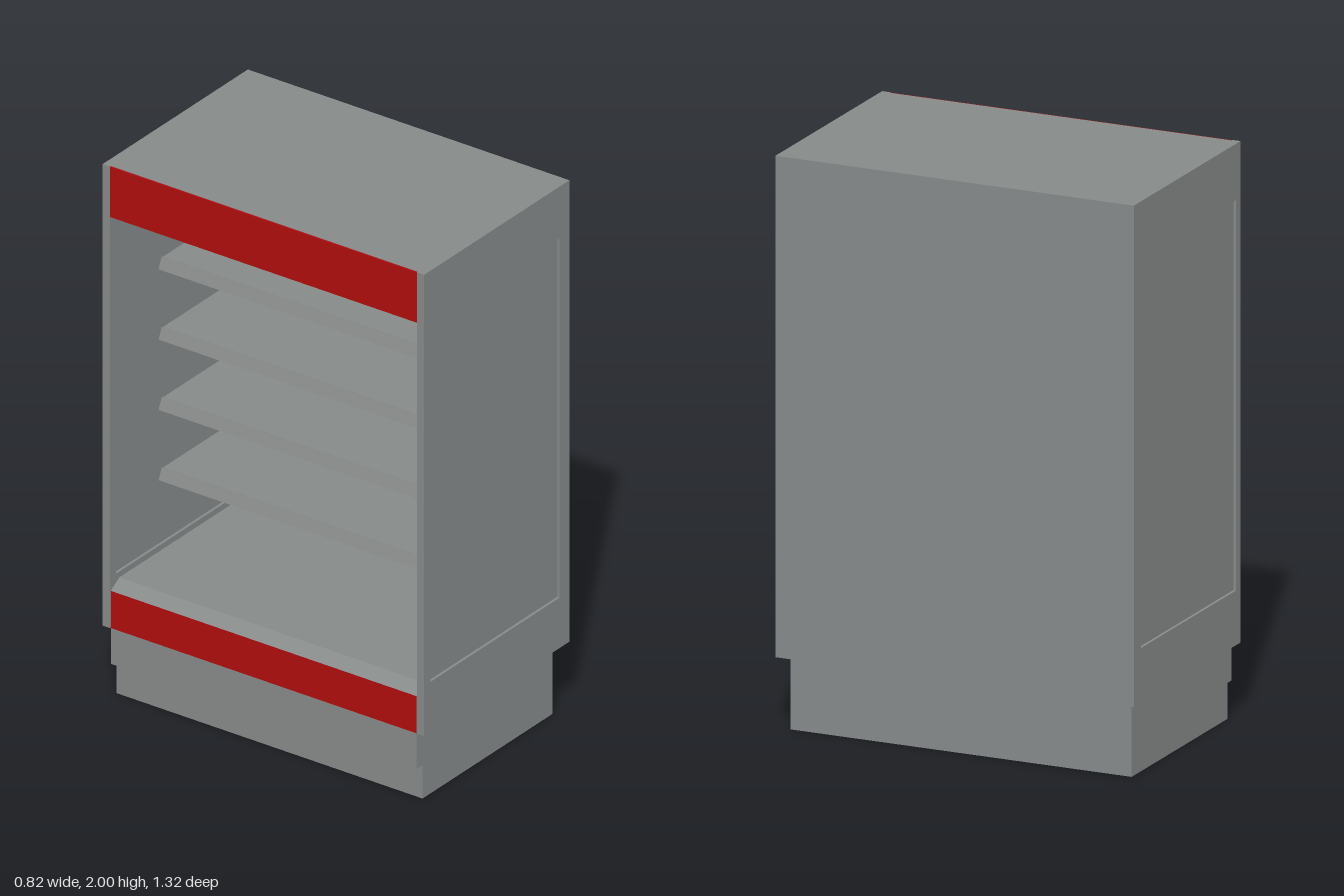
import * as THREE from 'three';

// Open-fronted refrigerated display cabinet; the open side faces -x
export function createModel() {
  const model = new THREE.Group();
  const grey = new THREE.MeshStandardMaterial({ color: 0x868a89, side: THREE.DoubleSide });
  grey.name = 'cabinetGrey';
  const red = new THREE.MeshStandardMaterial({ color: 0xb00d0d, side: THREE.DoubleSide });
  red.name = 'trimRed';
  const Z = 0.63; // inner half length, between the end panels

  function add(name, geometry, material = grey, parent = model) {
    const mesh = new THREE.Mesh(geometry, material);
    mesh.name = name;
    parent.add(mesh);
    return mesh;
  }
  // Box from its two extreme corners
  function box(name, x0, x1, y0, y1, z0, z1, material, parent) {
    const mesh = add(name, new THREE.BoxGeometry(x1 - x0, y1 - y0, z1 - z0), material, parent);
    mesh.position.set((x0 + x1) / 2, (y0 + y1) / 2, (z0 + z1) / 2);
    return mesh;
  }
  // Folded sheet: an x,y path swept along z
  function sheet(name, path, halfLength, material, parent) {
    const pos = [];
    for (let i = 0; i < path.length - 1; i++) {
      const [ax, ay] = path[i], [bx, by] = path[i + 1], h = halfLength;
      pos.push(ax, ay, -h, ax, ay, h, bx, by, h, ax, ay, -h, bx, by, h, bx, by, -h);
    }
    const g = new THREE.BufferGeometry();
    g.setAttribute('position', new THREE.Float32BufferAttribute(pos, 3));
    g.computeVertexNormals();
    return add(name, g, material, parent);
  }
  function outline(points) {
    return new THREE.Shape(points.map(([x, y]) => new THREE.Vector2(x, y)));
  }

  // End panels: frame with a thinner recessed pane
  for (const side of [1, -1]) {
    const panel = new THREE.Group();
    panel.name = side > 0 ? 'frontEndPanel' : 'backEndPanel';
    const frame = outline([[-0.41, 0.26], [0.41, 0.26], [0.41, 2], [-0.41, 2]]);
    frame.holes.push(outline([[-0.375, 0.45], [-0.375, 1.805], [0.355, 1.805], [0.355, 0.45]]));
    const geo = new THREE.ExtrudeGeometry(frame, { depth: 0.03, bevelEnabled: false });
    add('endFrame', geo, grey, panel).position.z = side > 0 ? Z : -Z - 0.03;
    const mid = side * (Z + 0.015);
    box('endPane', -0.375, 0.355, 0.45, 1.805, mid - 0.005, mid + 0.005, grey, panel);
    model.add(panel);
  }

  // Rear wall and canopy
  box('rearWall', 0.36, 0.41, 0.26, 2, -Z, Z);
  box('canopy', -0.404, 0.36, 1.81, 2, -Z, Z);
  box('canopyTrim', -0.41, -0.404, 1.81, 1.999, -Z, Z, red);

  // Hollow base, open underneath, with a stepped kick and a chamfered deck
  const profile = [[0.36, 0], [0.36, 0.43], [-0.36, 0.43], [-0.408, 0.4],
    [-0.408, 0.26], [-0.408, 0.125], [-0.375, 0.125], [-0.375, 0]];
  const h = Z - 0.002;
  sheet('deck', profile.slice(0, 4), h);
  sheet('bumperTrim', profile.slice(3, 5), h, red);
  sheet('kickPlate', profile.slice(4), h);
  for (const side of [1, -1]) {
    add('baseEnd', new THREE.ShapeGeometry(outline(profile))).position.z = side * h;
  }

  // Shelves with a slanted front rail
  for (let i = 0; i < 4; i++) {
    const y = 0.735 + i * 0.265;
    const shelf = new THREE.Group();
    shelf.name = 'shelf' + (i + 1);
    box('shelfBoard', -0.11, 0.36, y - 0.015, y, -Z, Z, grey, shelf);
    sheet('shelfRail', [[-0.11, y], [-0.12, y + 0.006], [-0.138, y - 0.035], [-0.128, y - 0.04], [-0.11, y - 0.002]], h, grey, shelf);
    model.add(shelf);
  }
  return model;
}
